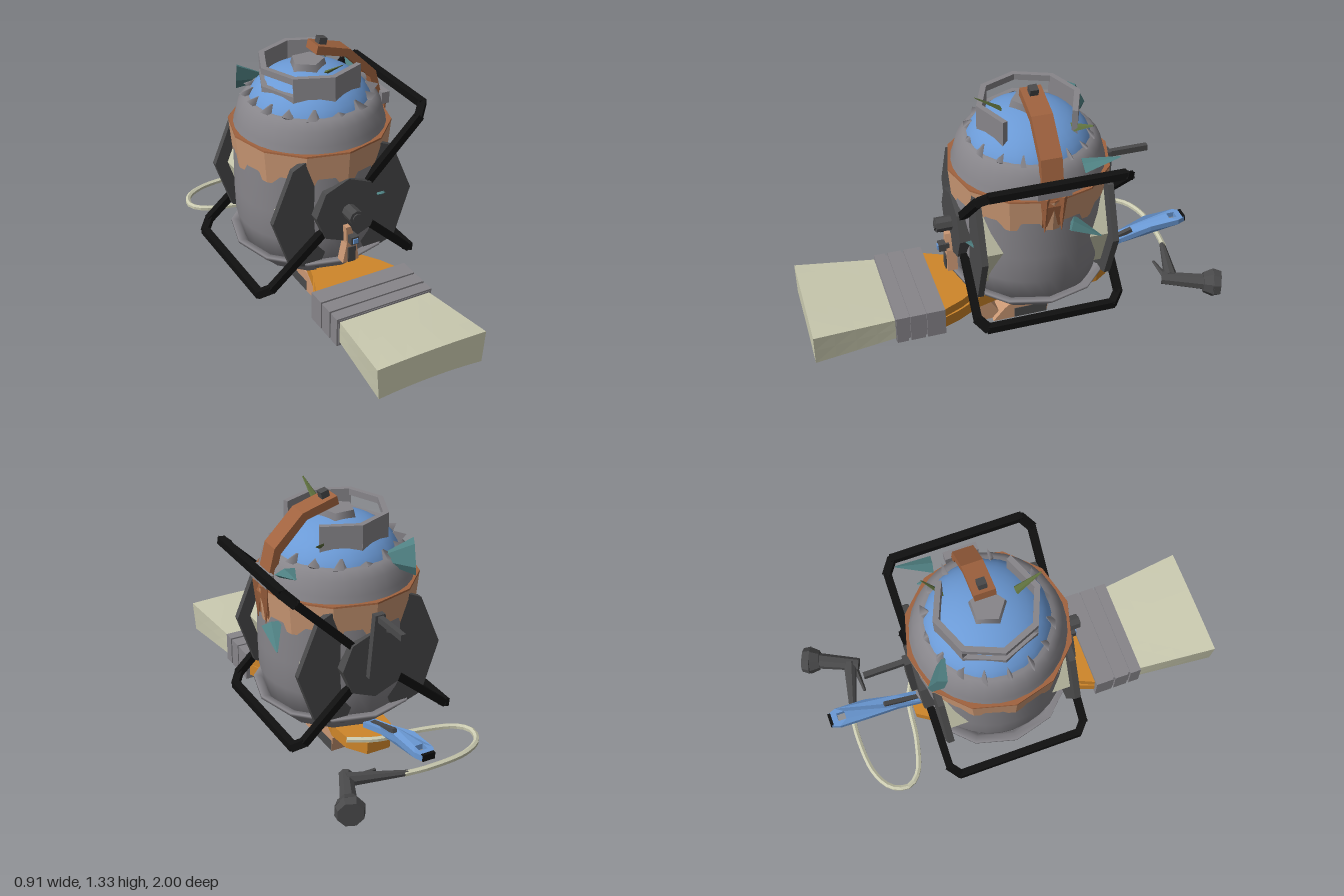
import * as THREE from 'three';

const mat = (name, color, flat = true) => {
  const m = new THREE.MeshStandardMaterial({ color, flatShading: flat, side: THREE.DoubleSide });
  m.name = name;
  return m;
};

export function createModel() {
  const root = new THREE.Group();
  root.name = 'scrapTank';
  const grey = mat('grey', 0x87858a, false), dark = mat('darkGrey', 0x4a4a4b);
  const tan = mat('lightCopper', 0xcb9874), copper = mat('copper', 0xa0633f);
  const blue = mat('blue', 0x6b9ad6, false), cream = mat('cream', 0xcacab0);
  const orange = mat('orange', 0xcf862a), black = mat('black', 0x101010);
  const teal = mat('teal', 0x4f8082), green = mat('green', 0x5c6d3c);
  const CZ = -0.11; // tank axis
  const V = (x, y, z) => new THREE.Vector3(x, y, z);

  const add = (name, geo, m, x = 0, y = 0, z = 0) => {
    const o = new THREE.Mesh(geo, m);
    o.name = name;
    o.position.set(x, y, z);
    root.add(o);
    return o;
  };
  const box = (name, m, w, h, d, x, y, z) => add(name, new THREE.BoxGeometry(w, h, d), m, x, y, z);
  const lathe = (name, m, pts, n) =>
    add(name, new THREE.LatheGeometry(pts.map(p => new THREE.Vector2(...p)), n), m, 0, 0, CZ);
  // square bar between two points
  const bar = (name, m, a, b, w, h = w) => {
    const o = box(name, m, w, h, a.distanceTo(b) + w * 0.4, 0, 0, 0);
    o.position.lerpVectors(a, b, 0.5);
    o.lookAt(b);
    return o;
  };
  // round rod or cone between two points
  const rod = (name, m, a, b, ra, rb, n = 8) => {
    const o = add(name, new THREE.CylinderGeometry(rb, ra, a.distanceTo(b), n), m);
    o.position.lerpVectors(a, b, 0.5);
    o.quaternion.setFromUnitVectors(V(0, 1, 0), b.clone().sub(a).normalize());
    return o;
  };
  const plate = (pts, depth, holes = []) => {
    const s = new THREE.Shape(pts.map(p => new THREE.Vector2(...p)));
    holes.forEach(h => s.holes.push(new THREE.Path(h.map(p => new THREE.Vector2(...p)))));
    return new THREE.ExtrudeGeometry(s, { depth, bevelEnabled: false }).translate(0, 0, -depth / 2);
  };
  const sidePlate = (pts, w) => plate(pts, w).rotateY(-Math.PI / 2); // points are (z, y)
  const planPlate = (pts, h, holes) => plate(pts, h, holes).rotateX(Math.PI / 2); // points are (x, z)
  const mirrored = half => [...half, ...half.map(([x, z]) => [-x, z]).reverse()];

  // Tank shell, band, dome and base dish
  lathe('tankBody', grey, [[0, 0.26], [0.24, 0.27], [0.33, 0.33], [0.362, 0.46], [0.366, 0.6], [0.364, 0.8]], 32);
  lathe('tankShoulder', grey, [[0.37, 0.9], [0.352, 0.96], [0.335, 1.025], [0.3, 1.065], [0.26, 1.07]], 32);
  lathe('copperBand', tan, [[0.37, 0.76], [0.386, 0.925]], 12);
  lathe('bandRim', copper, [[0.387, 0.922], [0.386, 0.93], [0.36, 0.93]], 12);
  lathe('baseDish', grey, [[0.18, 0.25], [0.3, 0.26], [0.35, 0.31], [0.39, 0.345], [0.39, 0.358], [0.355, 0.355], [0.33, 0.32]], 12);
  add('blueDome', new THREE.SphereGeometry(0.3, 24, 10, 0, Math.PI * 2, 0, Math.PI / 2), blue, 0, 1, CZ).scale.y = 0.7;
  for (let i = 0; i < 16; i++) { // ragged dome edge
    const a = (i / 16) * Math.PI * 2;
    const p = r => V(Math.cos(a) * r, 1.055, CZ + Math.sin(a) * r);
    rod('shoulderTooth', grey, p(0.29), p(0.24 + 0.02 * (i % 2)).setY(1.1), 0.05, 0.01, 4).scale.z = 0.3;
  }
  add('topNut', new THREE.CylinderGeometry(0.08, 0.09, 0.04, 5), grey, -0.01, 1.215, CZ);

  // Octagonal collar, open to the left side, with a window to the right
  const corner = k => V(Math.cos(k * Math.PI / 4) * 0.232, 0, CZ + Math.sin(k * Math.PI / 4) * 0.232);
  for (let k = 1; k < 7; k++) {
    const a = corner(k), b = corner(k + 1);
    const wall = (lo, hi, p, q) => bar('collarWall', grey, p.clone().setY((lo + hi) / 2), q.clone().setY((lo + hi) / 2), 0.026, hi - lo);
    if (k === 3 || k === 4) {
      wall(1.08, 1.15, a, b);
      wall(1.21, 1.24, a, b);
    } else wall(1.08, 1.24, a, b);
  }

  // Front and back split discs with hubs
  const lobe = [[0.06, 0.15], [0.13, 0.31], [0.26, 0.25], [0.365, 0], [0.28, -0.25], [0.13, -0.3], [0.06, -0.15]];
  for (const s of [1, -1]) {
    for (const side of [1, -1]) {
      const pts = lobe.map(([x, y]) => [x * side, y]);
      add('discLobe', plate(pts, 0.03), dark, 0, 0.62, CZ + s * 0.315);
      const inner = pts.map(([x, y]) => [x * 0.82, y * 0.82]);
      add('discBacking', plate(inner, 0.2), cream, 0, 0.62, CZ + s * 0.2);
    }
    add('discHub', new THREE.CylinderGeometry(0.168, 0.168, 0.05, 8).rotateX(Math.PI / 2), dark, 0, 0.62, CZ + s * 0.355);
  }
  add('hubKnob', new THREE.CylinderGeometry(0.036, 0.036, 0.08, 8).rotateX(Math.PI / 2), dark, 0, 0.62, 0.305);
  add('hubKnobCap', new THREE.CylinderGeometry(0.022, 0.022, 0.01, 8).rotateX(Math.PI / 2), dark, 0, 0.62, 0.346);
  add('crankArm', plate([[-0.05, 0.57], [0.05, 0.57], [0.025, 0.88], [-0.025, 0.88]], 0.03), dark, 0, 0, -0.505);
  box('crankHandle', dark, 0.025, 0.03, 0.2, 0, 0.86, -0.61);

  // Three bent black legs, each a U from the front hub to the back hub
  for (const [x, y] of [[0.425, 1.04], [0.385, 0.26], [-0.435, 0.255]]) {
    const at = (t, z) => V(x * t, 0.62 + (y - 0.62) * t, z);
    const path = [at(0.28, 0.24), at(0.9, 0.24), at(1, 0.2), at(1, -0.42), at(0.9, -0.46), at(0.28, -0.46)];
    for (let i = 0; i < 5; i++) bar('legFrame', black, path[i], path[i + 1], 0.036);
  }

  // Copper hook over the dome
  add('hook', plate([[0.01, 1.27], [0.02, 1.31], [0.19, 1.26], [0.33, 1.12], [0.385, 0.9], [0.365, 0.78],
    [0.35, 0.9], [0.3, 1.09], [0.17, 1.225]], 0.1), copper, 0, 0, CZ);
  for (const z of [-0.04, 0.04]) rod('hookSpike', copper, V(0.375, 0.95, CZ + z), V(0.375, 0.76, CZ + z), 0.025, 0.002, 4);
  box('hookClip', grey, 0.04, 0.06, 0.16, 0.37, 0.98, CZ);
  box('hookBolt', dark, 0.04, 0.05, 0.04, 0.06, 1.305, CZ).rotation.z = -0.25;

  // Leaves: flattened cones
  const leaf = (m, a, b, r) => { rod('leaf', m, a, b, r, 0.004, 5).scale.z = 0.35; };
  leaf(green, V(0.02, 1.22, 0.03), V(0.03, 1.3, 0.15), 0.022);
  leaf(green, V(0.13, 1.13, -0.25), V(0.22, 1.18, -0.34), 0.028);
  leaf(teal, V(0.37, 0.78, -0.2), V(0.41, 0.71, -0.33), 0.05);
  leaf(teal, V(0.2, 0.62, 0.2), V(0.2, 0.645, 0.25), 0.045);
  leaf(teal, V(-0.23, 1.07, -0.42), V(-0.07, 1.06, -0.34), 0.09);
  leaf(teal, V(0.33, 1.05, -0.26), V(0.36, 1.09, -0.42), 0.05);

  // Wide paintbrush under the tank
  const bristles = new THREE.BoxGeometry(2, 2, 1, 8, 2, 4);
  const p = bristles.attributes.position;
  for (let i = 0; i < p.count; i++) {
    const x = p.getX(i), y = p.getY(i), t = p.getZ(i) + 0.5;
    const sag = (y < 0 ? 0.014 * (1 - x * x) : 0.006 * (1 - x * x)) * t;
    p.setXYZ(i, x * (0.235 + 0.03 * t + 0.012 * t * (y + 1) / 2), 0.235 + y * (0.055 + 0.025 * t) + sag, 0.6 + 0.4 * t);
  }
  bristles.computeVertexNormals();
  add('bristles', bristles, cream);
  box('ferrule', grey, 0.48, 0.13, 0.24, 0, 0.233, 0.49);
  for (const [z, d] of [[0.415, 0.09], [0.505, 0.07], [0.58, 0.055]]) box('ferruleRidge', grey, 0.5, 0.146, d, 0, 0.233, z);
  const outline = mirrored([[0.23, 0.37], [0.2, 0.29], [0.14, 0.18], [0.09, 0], [0.1, -0.2], [0.13, -0.32], [0.12, -0.44], [0.06, -0.53]]);
  add('brushHandle', planPlate(outline, 0.06), orange, 0, 0.21, 0);
  add('brushNeck', planPlate(mirrored([[0.225, 0.37], [0.18, 0.27], [0.12, 0.18]]), 0.1), orange, 0, 0.235, 0);
  lathe('baseDisc', tan, [[0, 0.2], [0.15, 0.2], [0.21, 0.225], [0.21, 0.24], [0, 0.25]], 8);

  // Copper foot with a forward strut
  add('footStem', new THREE.CylinderGeometry(0.05, 0.06, 0.1, 8), tan, 0, 0.15, CZ);
  add('footBlock', sidePlate([[0.08, 0], [-0.2, 0], [-0.21, 0.08], [-0.18, 0.11], [-0.03, 0.11], [0.02, 0.07]], 0.13), tan);
  add('footCap', new THREE.CylinderGeometry(0.07, 0.08, 0.03, 8), tan, 0, 0.125, CZ);
  add('footStrut', sidePlate([[0.13, 0], [0.08, 0], [0.04, 0.03], [0.13, 0.18], [0.18, 0.18]], 0.08), tan);
  add('footStrutInlay', sidePlate([[0.135, 0], [0.12, 0], [0.17, 0.18], [0.186, 0.18]], 0.05), dark);
  box('footPad', dark, 0.135, 0.055, 0.17, 0, 0.03, -0.115);

  // Small valve bracket at the front
  add('valveBracket', plate([[-0.045, 0.36], [0.04, 0.36], [0.025, 0.47], [-0.005, 0.55], [-0.03, 0.55], [-0.025, 0.46]], 0.05), tan, 0, 0, 0.275);
  box('valveSlot', dark, 0.04, 0.08, 0.008, 0, 0.4, 0.302);
  box('valveBody', dark, 0.04, 0.04, 0.05, 0, 0.49, 0.31);
  box('valveFace', blue, 0.024, 0.024, 0.008, 0, 0.49, 0.337);

  // Blue rear handle with a hanging hole
  const blueBar = planPlate(mirrored([[0.032, -0.44], [0.032, -0.6], [0.047, -0.75], [0.047, -0.9], [0.03, -0.94]]), 0.028,
    [[[-0.02, -0.86], [0.02, -0.86], [0.02, -0.9], [-0.02, -0.9]]]);
  const q = blueBar.attributes.position;
  for (let i = 0; i < q.count; i++) {
    const t = Math.min(1, Math.max(0, (-0.44 - q.getZ(i)) / 0.31));
    q.setY(i, q.getY(i) + 0.28 + 0.105 * t + (q.getZ(i) < -0.8 ? 0.01 : 0));
  }
  blueBar.computeVertexNormals();
  add('rearHandle', blueBar, blue);
  box('rearHandleTip', black, 0.062, 0.032, 0.015, 0, 0.396, -0.935);
  box('rearHandleRib', dark, 0.022, 0.02, 0.2, 0, 0.335, -0.57).rotation.x = 0.33;

  // Nozzle and its looping hose
  rod('nozzleArm', dark, V(0.03, 0.255, -0.83), V(0.3, 0.265, -0.76), 0.014, 0.034);
  rod('nozzleBarrel', dark, V(0.28, 0.26, -0.72), V(0.37, 0.26, -0.91), 0.032, 0.04);
  rod('nozzleFlare', dark, V(0.37, 0.26, -0.9), V(0.385, 0.26, -0.945), 0.05, 0.07);
  rod('nozzleRim', dark, V(0.385, 0.26, -0.945), V(0.4, 0.26, -0.98), 0.07, 0.06);
  rod('nozzleTrigger', dark, V(0.14, 0.25, -0.735), V(0.28, 0.25, -0.745), 0.008, 0.016, 5);
  const hose = new THREE.CatmullRomCurve3([[0.05, -0.83], [-0.08, -0.84], [-0.28, -0.82], [-0.38, -0.76], [-0.405, -0.68],
    [-0.36, -0.62], [-0.2, -0.57], [0.02, -0.54], [0.14, -0.48]].map(([x, z]) => V(x, 0.255, z)));
  add('hose', new THREE.TubeGeometry(hose, 32, 0.014, 6), cream);

  return root;
}
